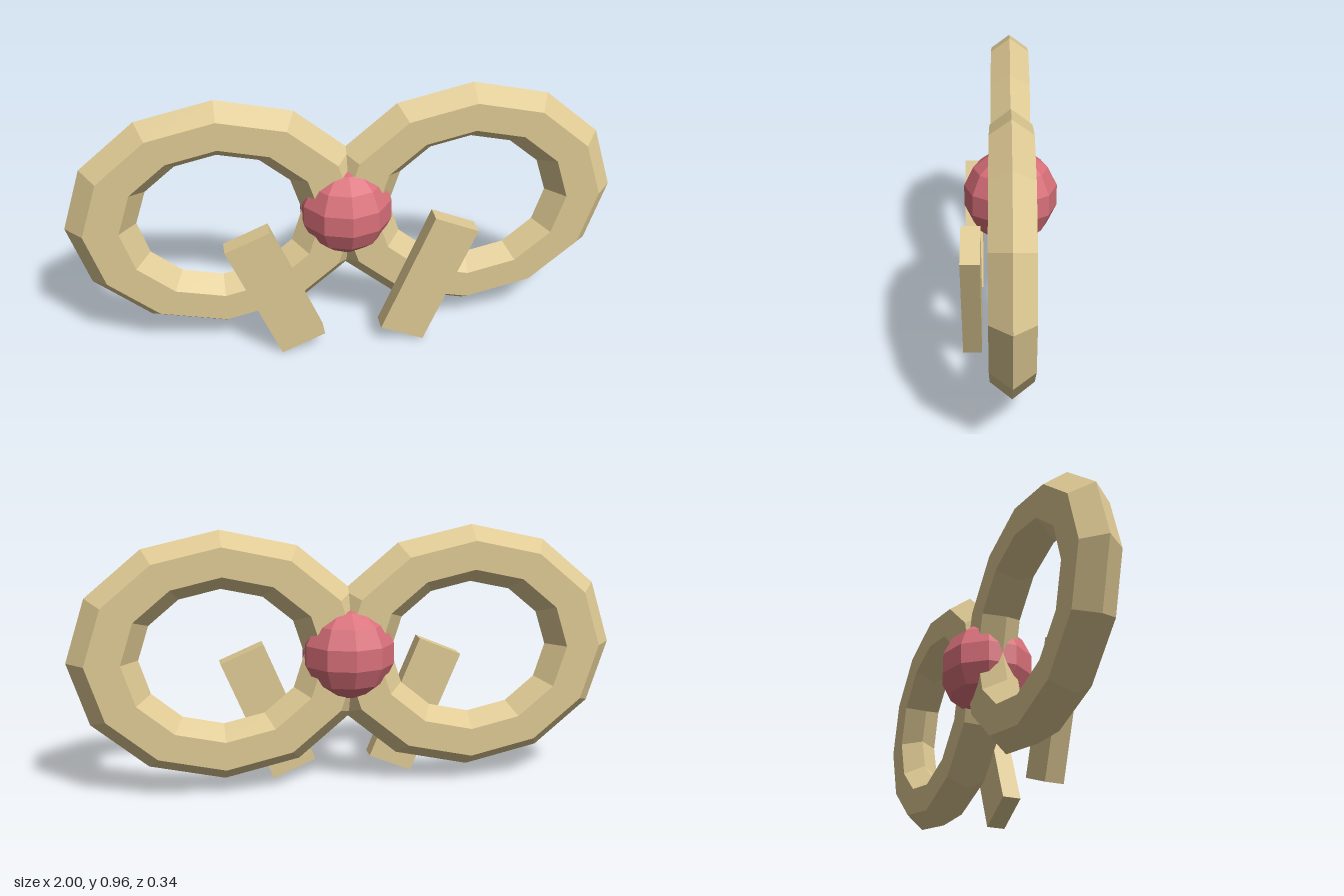
import * as THREE from 'three';

export function createModel() {
  const model = new THREE.Group();
  model.name = 'bow';

  const ribbon = new THREE.MeshStandardMaterial({ name: 'ribbon tan', color: 0xdec993, flatShading: true });
  const rose = new THREE.MeshStandardMaterial({ name: 'knot rose', color: 0xd9707a, flatShading: true });

  const add = (name, geometry, material, x, y, z) => {
    const mesh = new THREE.Mesh(geometry, material);
    mesh.name = name;
    mesh.position.set(x, y, z);
    model.add(mesh);
    return mesh;
  };

  const loopGeometry = new THREE.TorusGeometry(0.35, 0.104, 6, 12);
  const tailGeometry = new THREE.BoxGeometry(0.173, 0.49, 0.068);

  for (const [side, s] of [['left', 1], ['right', -1]]) {
    // Wide, flattened hexagonal loop
    const loop = add(side + 'Loop', loopGeometry, ribbon, s * 0.455, 0.505, 0);
    loop.scale.set(1.2, 1, 0.8);

    // Hanging tail in front, leaning outward at the top
    const tail = add(side + 'Tail', tailGeometry, ribbon, s * 0.28, 0.26, 0.138);
    tail.rotation.z = -s * 0.4;
  }

  // Faceted central knot, with an edge facing the front
  const knot = add('knot', new THREE.SphereGeometry(0.172, 10, 7), rose, 0, 0.505, 0);
  knot.rotation.y = Math.PI / 2;

  return model;
}
